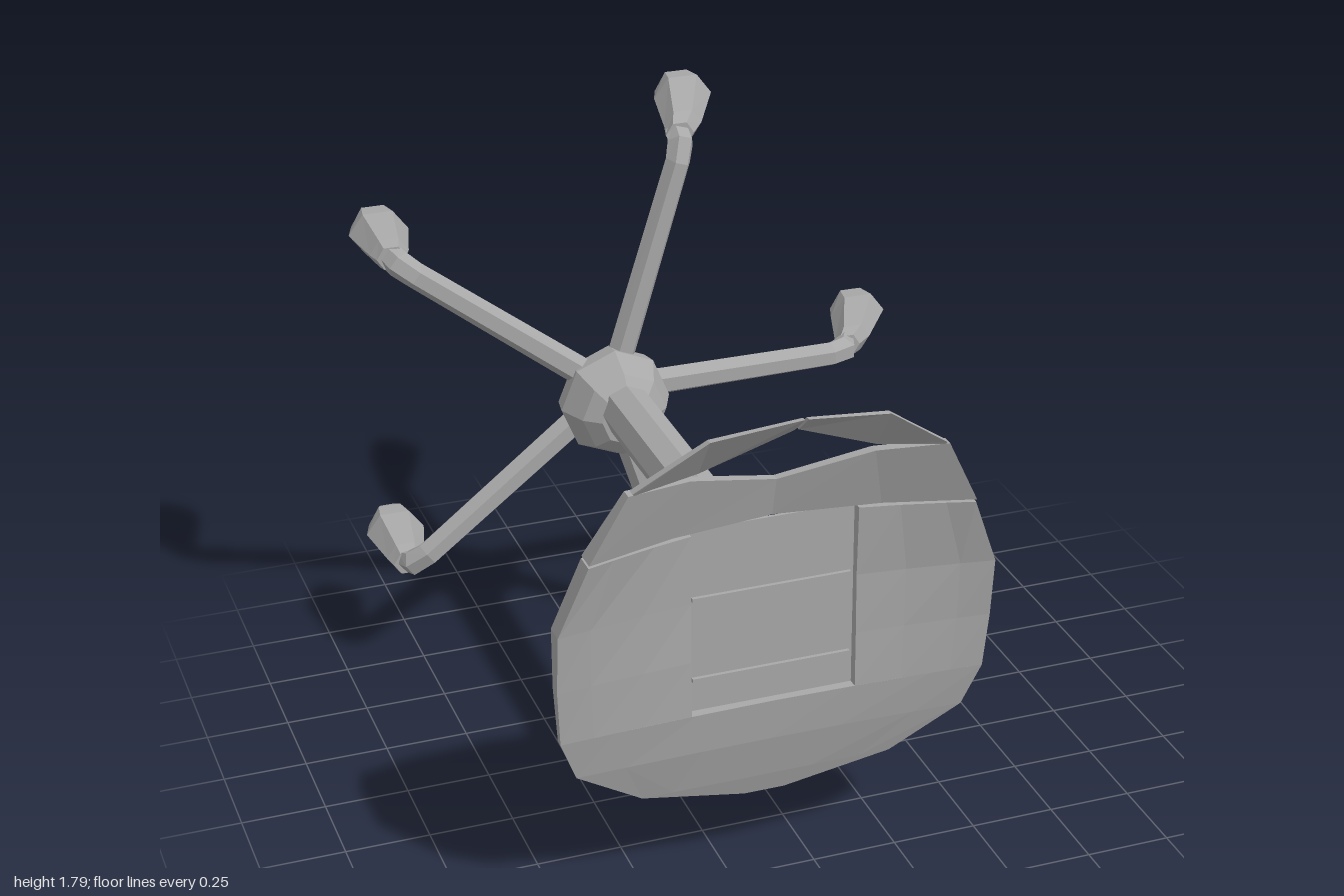
import * as THREE from 'three';

const CX = -0.14, CY = 0.9; // axis of the stool, which lies on its side along z
const V = (x, y, z) => new THREE.Vector3(x, y, z);

export function createModel() {
  const model = new THREE.Group();
  const grey = new THREE.MeshStandardMaterial({ color: 0xa8a8a8 });
  grey.name = 'grey';
  grey.flatShading = true;

  const add = (name, geometry, x = 0, y = 0, z = 0) => {
    const mesh = new THREE.Mesh(geometry, grey);
    mesh.name = name;
    mesh.position.set(x, y, z);
    model.add(mesh);
    return mesh;
  };

  const fromQuads = (quads) => {
    const pos = [];
    for (const [a, b, c, d] of quads) for (const p of [a, b, c, a, c, d]) pos.push(p.x, p.y, p.z);
    const g = new THREE.BufferGeometry();
    g.setAttribute('position', new THREE.Float32BufferAttribute(pos, 3));
    g.computeVertexNormals();
    return g;
  };

  // Cross-section ring around a centre; u x v points along the direction of travel
  const ring = (c, u, v, ru, rv, n = 6, square = false) =>
    Array.from({ length: n }, (_, k) => {
      const a = (k / n) * Math.PI * 2;
      const m = square ? Math.max(Math.abs(Math.cos(a)), Math.abs(Math.sin(a))) : 1;
      return c.clone().addScaledVector(u, (ru * Math.cos(a)) / m).addScaledVector(v, (rv * Math.sin(a)) / m);
    });

  // Closed skin through a list of rings
  const loft = (rings) => {
    const quads = [], n = rings[0].length, last = rings[rings.length - 1];
    for (let i = 0; i + 1 < rings.length; i++)
      for (let j = 0; j < n; j++) {
        const k = (j + 1) % n;
        quads.push([rings[i][j], rings[i][k], rings[i + 1][k], rings[i + 1][j]]);
      }
    const middle = (r) => r.reduce((s, p) => s.add(p), V(0, 0, 0)).divideScalar(n);
    const m0 = middle(rings[0]), m1 = middle(last);
    for (let j = 0; j < n; j++) {
      const k = (j + 1) % n;
      quads.push([m0, rings[0][k], rings[0][j], m0], [m1, last[j], last[k], m1]);
    }
    return fromQuads(quads);
  };

  // Solid sheet from rows of [x offset, y, front z, back z]
  const sheet = (rows) => {
    const f = rows.map((r) => r.map((p) => V(CX + p[0], p[1], p[2])));
    const b = rows.map((r) => r.map((p) => V(CX + p[0], p[1], p[3])));
    const R = rows.length - 1, C = rows[0].length - 1, quads = [];
    for (let i = 0; i < R; i++) {
      for (let j = 0; j < C; j++) {
        quads.push([f[i][j], f[i][j + 1], f[i + 1][j + 1], f[i + 1][j]]);
        quads.push([b[i][j + 1], b[i][j], b[i + 1][j], b[i + 1][j + 1]]);
      }
      quads.push([f[i][C], b[i][C], b[i + 1][C], f[i + 1][C]]);
      quads.push([b[i][0], f[i][0], f[i + 1][0], b[i + 1][0]]);
    }
    for (let j = 0; j < C; j++) {
      quads.push([b[0][j], b[0][j + 1], f[0][j + 1], f[0][j]]);
      quads.push([f[R][j], f[R][j + 1], b[R][j + 1], b[R][j]]);
    }
    return fromQuads(quads);
  };
  const mirrored = (rows) => rows.map((r) => r.map(([x, ...rest]) => [-x, ...rest]).reverse());
  const pair = (name, rows) => {
    add(name + 'Left', sheet(rows));
    add(name + 'Right', sheet(mirrored(rows)));
  };

  // Dished seat: y, half width, front z at centre and rim, back z at centre and rim
  const seatRow = ([y, w, cf, rf, cb, rb], inner) =>
    [inner, inner + (w - inner) * 0.36, inner + (w - inner) * 0.75, w].map((x) => {
      const t = Math.pow(x / w, 1.6);
      return [x, y, cf + (rf - cf) * t, cb + (rb - cb) * t];
    });
  const lower = [
    [0.25, 0.06, 0.715, 0.715, 0.703, 0.703],
    [0.315, 0.37, 0.735, 0.735, 0.715, 0.72],
    [0.45, 0.57, 0.765, 0.775, 0.735, 0.755],
    [0.58, 0.62, 0.78, 0.8, 0.745, 0.775],
  ];
  const upper = [
    lower[3],
    [0.75, 0.63, 0.775, 0.815, 0.735, 0.775],
    [0.93, 0.63, 0.765, 0.835, 0.72, 0.775],
    [1.14, 0.55, 0.76, 0.865, 0.715, 0.8],
  ];
  pair('seatFront', lower.map((r) => seatRow(r, 0)));
  pair('seatSide', upper.map((r) => seatRow(r, 0.24)));

  // Band behind the sitting area, dipping in the middle
  pair('backBand', [
    [[0, 1.15, 0.76, 0.715], [0.3, 1.15, 0.8, 0.735], [0.55, 1.15, 0.87, 0.805]],
    [[0, 1.27, 0.79, 0.765], [0.26, 1.335, 0.845, 0.815], [0.45, 1.35, 0.9, 0.865]],
  ]);

  // Two crescents forming the open back rail
  pair('backRail', [
    [[0.005, 1.48, 0.93, 0.915], [0.25, 1.37, 0.875, 0.855], [0.435, 1.35, 0.9, 0.875]],
    [[0.005, 1.54, 1.0, 0.985], [0.25, 1.5, 0.965, 0.945], [0.44, 1.357, 0.905, 0.88]],
  ]);

  // Bracket closing the recess under the seat
  const X = V(1, 0, 0), DOWN = V(0, -1, 0);
  add('seatBracket', loft([
    ring(V(CX, 0.86, 0.755), X, DOWN, 0.24, 0.28, 8, true),
    ring(V(CX, 0.86, 0.745), X, DOWN, 0.24, 0.28, 8, true),
    ring(V(CX, 0.9, 0.715), X, DOWN, 0.23, 0.21, 8, true),
    ring(V(CX, CY, 0.65), X, DOWN, 0.14, 0.135, 8),
  ]));
  // Cross rails inside the recess
  for (const y of [0.68, 0.93]) add('recessRail', new THREE.BoxGeometry(0.46, 0.012, 0.016), CX, y, 0.758);

  // Height lever
  const lever = add('lever', new THREE.BoxGeometry(0.34, 0.03, 0.018), -0.45, 0.92, 0.605);
  lever.rotation.y = -0.3;

  // Collar, column and hub
  const alongZ = (name, geometry, y, z) => (add(name, geometry, CX, y, z).rotation.x = Math.PI / 2);
  alongZ('collar', new THREE.CylinderGeometry(0.138, 0.08, 0.165, 8), CY, 0.58);
  alongZ('column', new THREE.CylinderGeometry(0.081, 0.081, 1.0, 8), CY, 0.02);
  const hub = [[0, -0.7], [0.12, -0.7], [0.165, -0.655], [0.175, -0.59], [0.135, -0.5], [0.085, -0.46], [0, -0.46]];
  alongZ('hub', new THREE.LatheGeometry(hub.map((p) => new THREE.Vector2(...p)), 8), 0.875, 0);

  // Five legs: elbow x, y and caster x, y
  const legs = [
    [0.67, 0.9, 0.795, 0.905],
    [0.11, 1.69, 0.195, 1.73],
    [-0.8, 1.415, -0.785, 1.415],
    [-0.8, 0.385, -0.785, 0.39],
    [0.11, 0.09, 0.195, 0.065],
  ];
  const Z = V(0, 0, 1);
  for (const [ex, ey, fx, fy] of legs) {
    const d = V(ex - CX, ey - CY, 0), length = d.length();
    d.normalize();
    const side = V(-d.y, d.x, 0);
    const at = (r, z) => V(CX + d.x * r, CY + d.y * r, z);
    add('leg', loft([
      ring(at(0.08, -0.64), side, Z, 0.045, 0.042),
      ring(at(length - 0.07, -0.645), side, Z, 0.04, 0.042),
      ring(at(length - 0.02, -0.665), side, Z.clone().add(d).normalize(), 0.042, 0.044),
      ring(at(length, -0.705), side, d, 0.04, 0.035),
    ]));
    const foot = (t, z, rx, ry) => ring(V(ex + (fx - ex) * t, ey + (fy - ey) * t, z), X, DOWN, rx, ry);
    add('caster', loft([
      foot(0, -0.685, 0.045, 0.04),
      foot(0.3, -0.73, 0.06, 0.05),
      foot(1, -0.9, 0.093, 0.072),
      foot(1, -0.965, 0.07, 0.068),
      foot(1, -1.0, 0.04, 0.05),
    ]));
  }
  return model;
}
